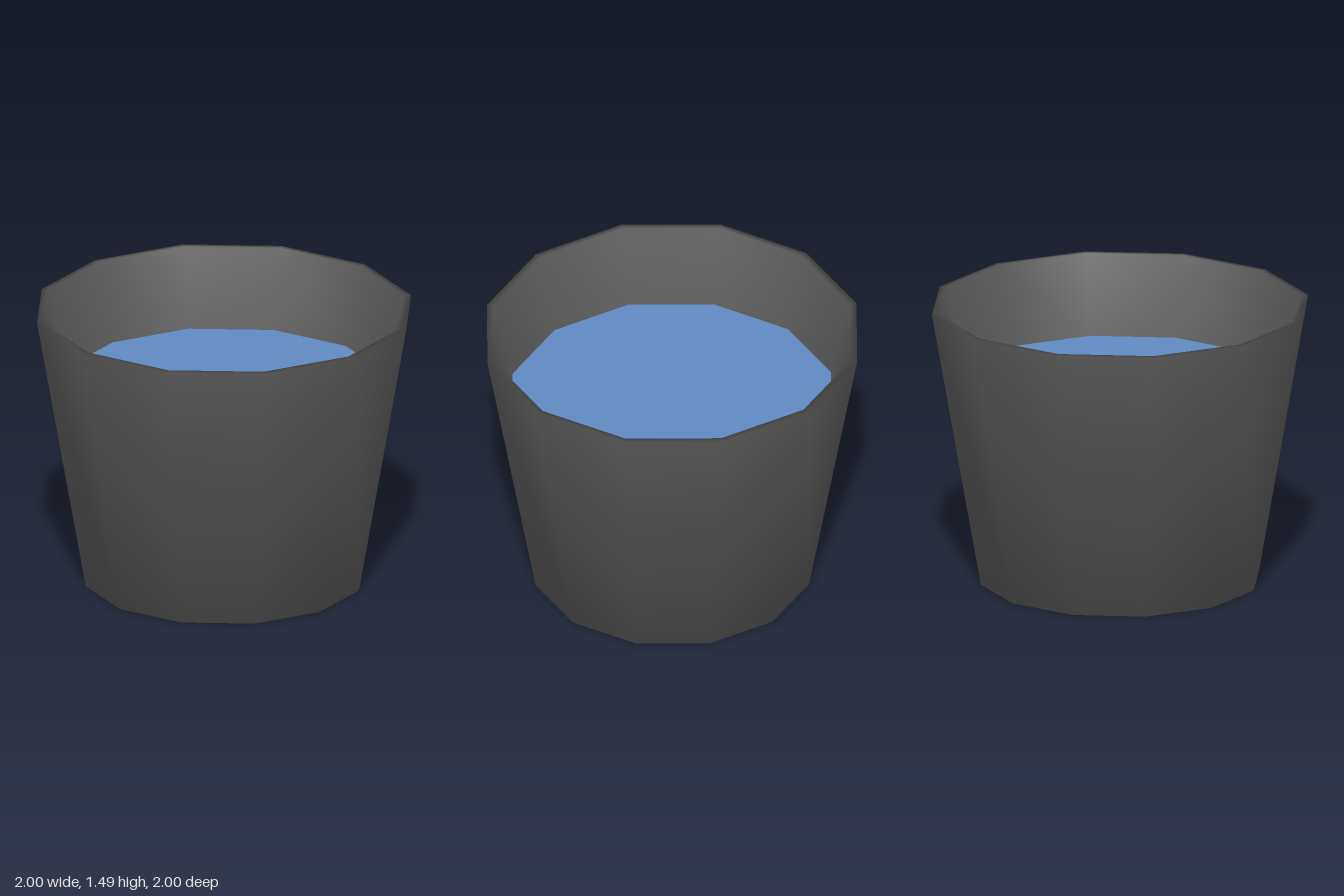
import * as THREE from 'three';

const SIDES = 12;

export function createModel() {
  const group = new THREE.Group();
  group.name = 'bucketOfWater';

  const darkGrey = new THREE.MeshStandardMaterial({ color: 0x5c5c5c });
  darkGrey.name = 'darkGrey';
  const waterBlue = new THREE.MeshStandardMaterial({ color: 0x5f8ac2 });
  waterBlue.name = 'waterBlue';

  // Tapered shell: underside, outer wall, narrow rim, inner wall and floor
  const profile = [
    [0, 0], [0.74, 0], [1, 1.485], [0.965, 1.485], [0.862, 1.065], [0.64, 0.08], [0, 0.08],
  ].map(([r, y]) => new THREE.Vector2(r, y));
  const bucket = new THREE.Mesh(new THREE.LatheGeometry(profile, SIDES), darkGrey);
  bucket.name = 'bucket';
  group.add(bucket);

  // Flat water surface meeting the inner wall
  const water = new THREE.Mesh(new THREE.CircleGeometry(0.862, SIDES).rotateX(-Math.PI / 2), waterBlue);
  water.name = 'waterSurface';
  water.position.y = 1.065;
  group.add(water);

  return group;
}
